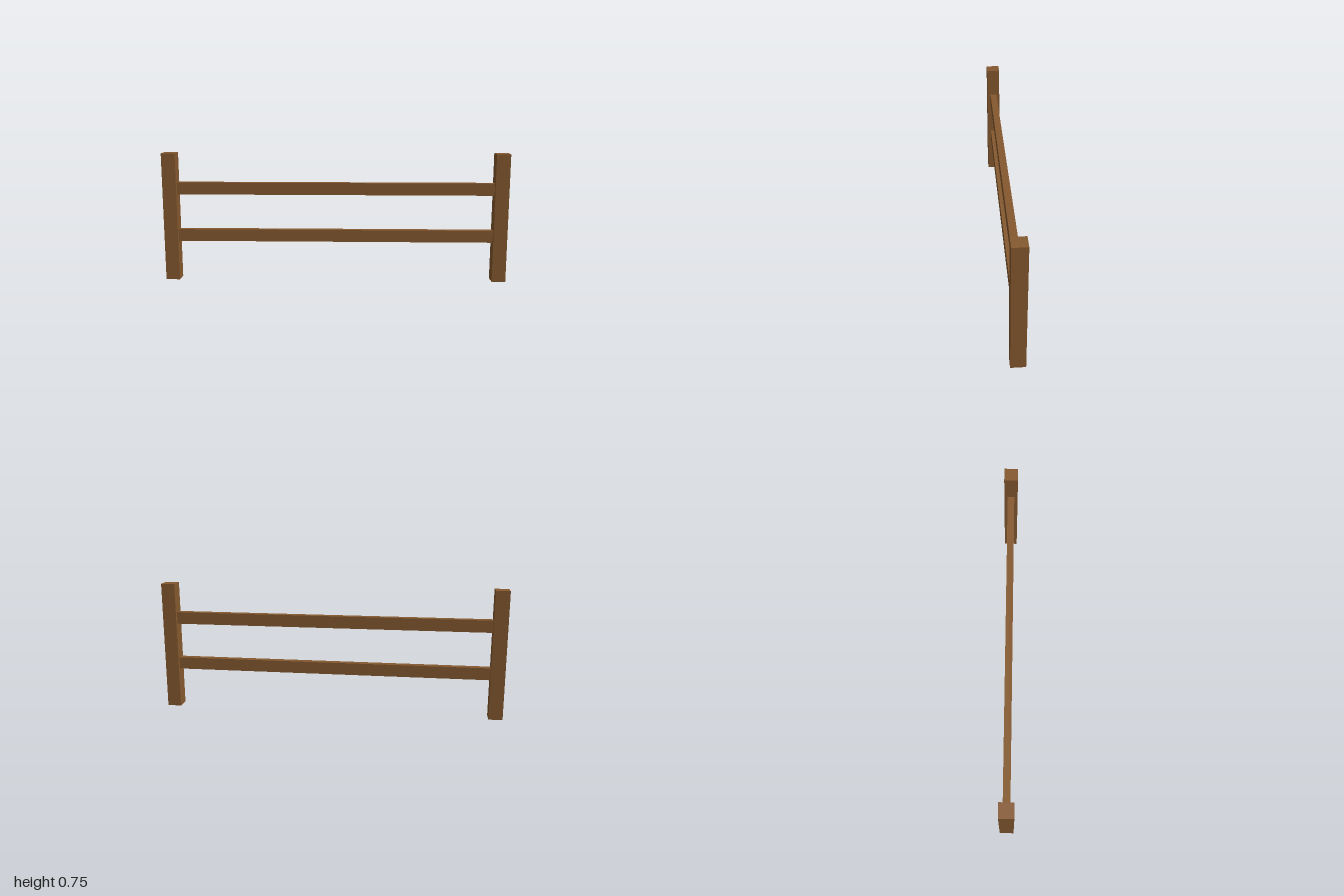
import * as THREE from 'three';

const POST = 0.08;      // square post width
const HEIGHT = 0.748;   // post height
const RAIL_H = 0.07;
const RAIL_D = 0.04;

export function createModel() {
  const fence = new THREE.Group();
  fence.name = 'fence';

  const wood = new THREE.MeshStandardMaterial({ color: 0x85592f });
  wood.name = 'brown wood';

  function addBox(name, w, h, d, x, y) {
    const mesh = new THREE.Mesh(new THREE.BoxGeometry(w, h, d), wood);
    mesh.name = name;
    mesh.position.set(x, y, 0);
    fence.add(mesh);
  }

  // End posts
  for (const [name, side] of [['leftPost', 1], ['rightPost', -1]]) {
    addBox(name, POST, HEIGHT, POST, side * (1 - POST / 2), HEIGHT / 2);
  }

  // Horizontal rails spanning between the posts
  for (const [name, y] of [['lowerRail', 0.265], ['upperRail', 0.542]]) {
    addBox(name, 2 - 2 * POST, RAIL_H, RAIL_D, 0, y);
  }

  return fence;
}
